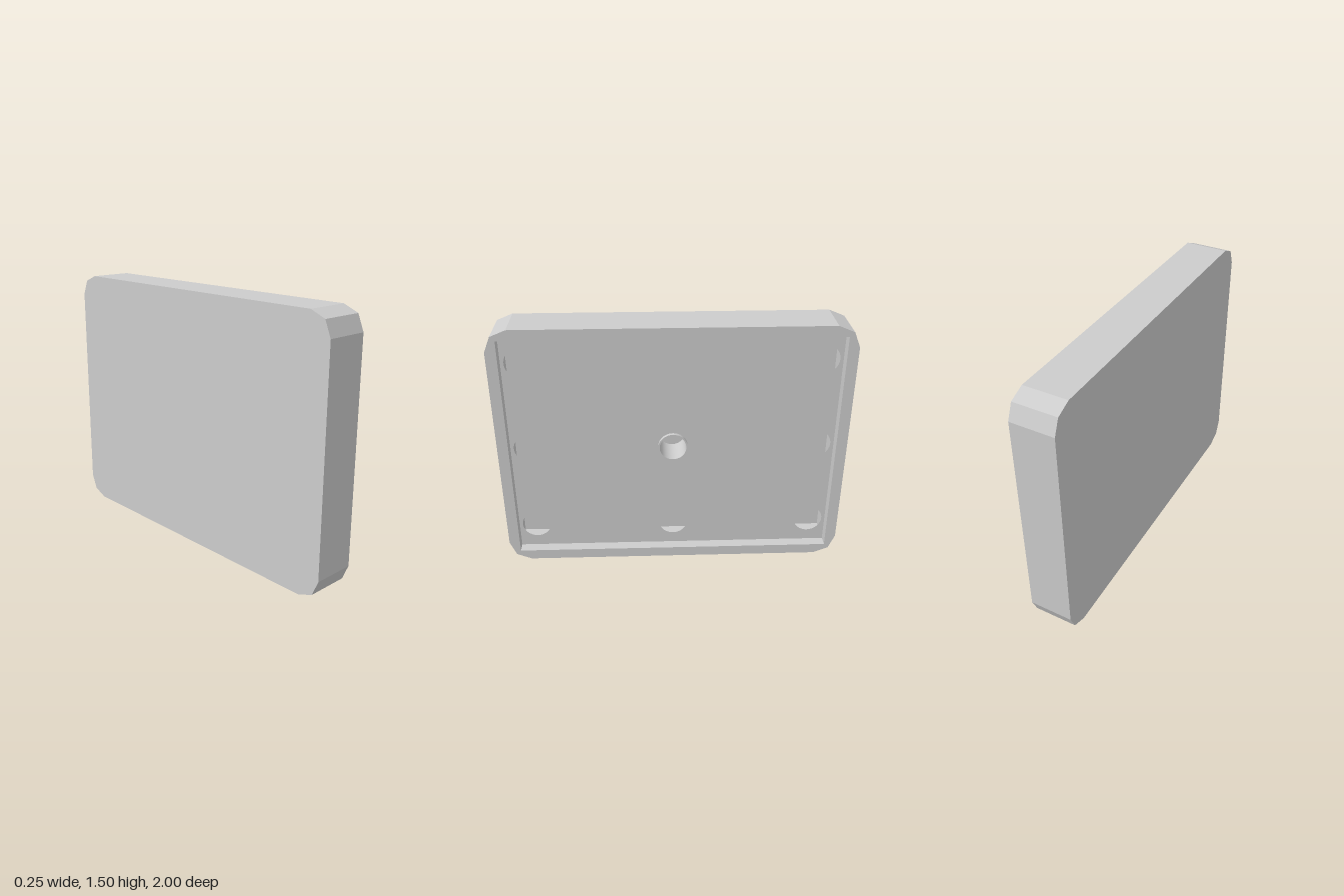
import * as THREE from 'three';

// Overall sizes: shallow box lying in the z-y plane, opening towards +x
const LENGTH = 2, HEIGHT = 1.5, HALF_DEPTH = 0.125;
const CORNER = 0.125, WALL = 0.0625, BACK = 0.03125;
const SHEET_X = 0.0625, HOLE_R = 0.0855;
const MID_Y = HEIGHT / 2;

// Rounded outline whose corners are made of two flat facets
function outline() {
  const points = [];
  const signs = [[1, 1], [-1, 1], [-1, -1], [1, -1]];
  signs.forEach(([sx, sy], corner) => {
    for (let i = 0; i <= 2; i++) {
      const a = (corner * Math.PI) / 2 + (i * Math.PI) / 4;
      points.push(new THREE.Vector2(
        sx * (LENGTH / 2 - CORNER) + CORNER * Math.cos(a),
        sy * (HEIGHT / 2 - CORNER) + CORNER * Math.sin(a)));
    }
  });
  return new THREE.Shape(points);
}

// Rectangle of the cavity inside the walls
function cavity(PathType) {
  const w = LENGTH / 2 - WALL, h = HEIGHT / 2 - WALL;
  return new PathType([[-w, -h], [w, -h], [w, h], [-w, h]].map(([x, y]) => new THREE.Vector2(x, y)));
}

function circle(x, y, r) {
  const path = new THREE.Path();
  path.absarc(x, y, r, 0, Math.PI * 2, true);
  return path;
}

export function createModel() {
  const model = new THREE.Group();
  model.name = 'trayBox';
  const grey = new THREE.MeshStandardMaterial({ color: 0xcccccc, side: THREE.DoubleSide });
  grey.name = 'light grey';

  // Turns a geometry drawn in x-y to face +x and places its rear at x
  const add = (name, geometry, x) => {
    geometry.rotateY(Math.PI / 2);
    geometry.translate(x, MID_Y, 0);
    const mesh = new THREE.Mesh(geometry, grey);
    mesh.name = name;
    model.add(mesh);
  };
  const extrude = (shape, depth) =>
    new THREE.ExtrudeGeometry(shape, { depth, bevelEnabled: false, curveSegments: 24 });

  // Closed back and the surrounding walls
  const floorX = -HALF_DEPTH + BACK;
  add('backPanel', extrude(outline(), BACK), -HALF_DEPTH);
  const frame = outline();
  frame.holes.push(cavity(THREE.Path));
  add('frameWalls', extrude(frame, HALF_DEPTH - floorX), floorX);

  // Thin recessed sheet with a 3 x 3 grid of holes
  const sheet = cavity(THREE.Shape);
  for (const x of [-0.833, 0, 0.833]) {
    for (const y of [-0.533, 0, 0.533]) sheet.holes.push(circle(x, y, HOLE_R));
  }
  add('perforatedSheet', new THREE.ShapeGeometry(sheet, 24), SHEET_X);

  // Hollow post through the centre hole, standing slightly proud of the sheet
  const inner = 0.077, length = SHEET_X + 0.02 - floorX;
  const post = [[HOLE_R, 0, HOLE_R, length], [HOLE_R, length, inner, length], [inner, length, inner, 0]];
  const names = ['postOutside', 'postRim', 'postBore'];
  post.forEach(([r0, h0, r1, h1], i) => {
    const wall = new THREE.LatheGeometry([new THREE.Vector2(r0, h0), new THREE.Vector2(r1, h1)], 48);
    add(names[i], wall.rotateX(Math.PI / 2), floorX);
  });

  return model;
}
